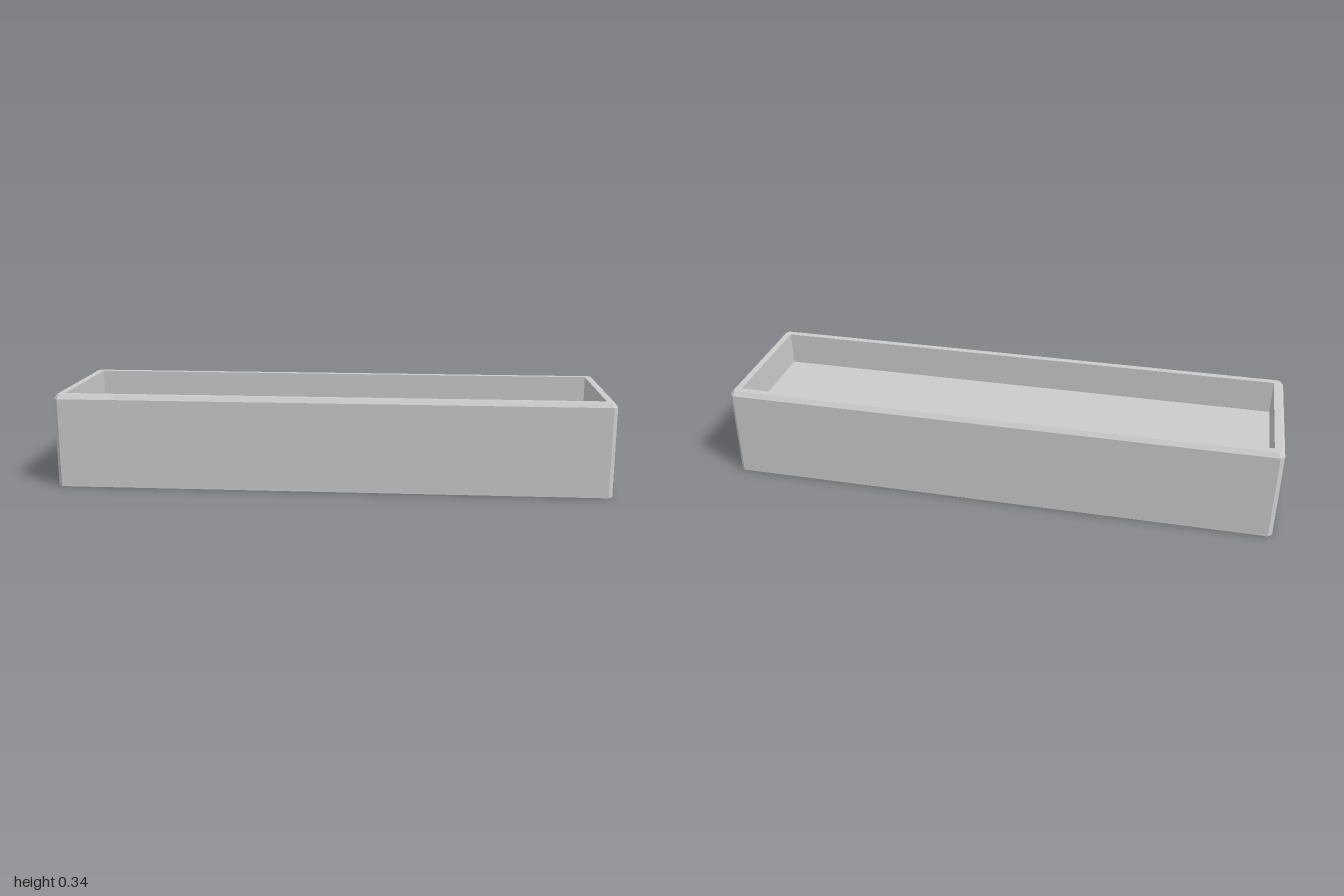
import * as THREE from 'three';

// Rectangle with cut corners, counter-clockwise seen from above
function ring(hx, hz, y, cut = 0) {
  return [
    [-hx + cut, hz], [hx - cut, hz], [hx, hz - cut], [hx, -hz + cut],
    [hx - cut, -hz], [-hx + cut, -hz], [-hx, -hz + cut], [-hx, hz - cut],
  ].map(([x, z]) => new THREE.Vector3(x, y, z));
}

// Skin a list of rings, leaving out collapsed triangles
function loft(rings) {
  const points = [];
  const triangle = (a, b, c) => {
    if (new THREE.Triangle(a, b, c).getArea() > 1e-7) points.push(a, b, c);
  };
  for (let r = 0; r < rings.length - 1; r++) {
    const low = rings[r], high = rings[r + 1];
    for (let i = 0; i < low.length; i++) {
      const j = (i + 1) % low.length;
      triangle(low[i], low[j], high[j]);
      triangle(low[i], high[j], high[i]);
    }
  }
  const geometry = new THREE.BufferGeometry().setFromPoints(points);
  geometry.computeVertexNormals();
  return geometry;
}

export function createModel() {
  const group = new THREE.Group();
  group.name = 'trough';
  const material = new THREE.MeshStandardMaterial({ color: 0xcccccc, flatShading: true });

  const hx = 0.997, hz = 0.267;  // outer half length and half depth
  const height = 0.34, floorY = 0.215, wall = 0.036;
  const bevel = 0.012, corner = 0.015;

  // Underside, outer walls, bevelled rim, inner walls and recessed floor
  const tray = new THREE.Mesh(loft([
    ring(0, 0, 0),
    ring(hx, hz, 0, corner),
    ring(hx, hz, height - 0.016, corner),
    ring(hx - bevel, hz - bevel, height, corner * 0.6),
    ring(hx - wall, hz - wall, height),
    ring(hx - wall, hz - wall, floorY),
    ring(0, 0, floorY),
  ]), material);
  tray.name = 'tray';
  tray.rotation.y = 0.0105; // the tray sits very slightly askew
  group.add(tray);
  return group;
}
